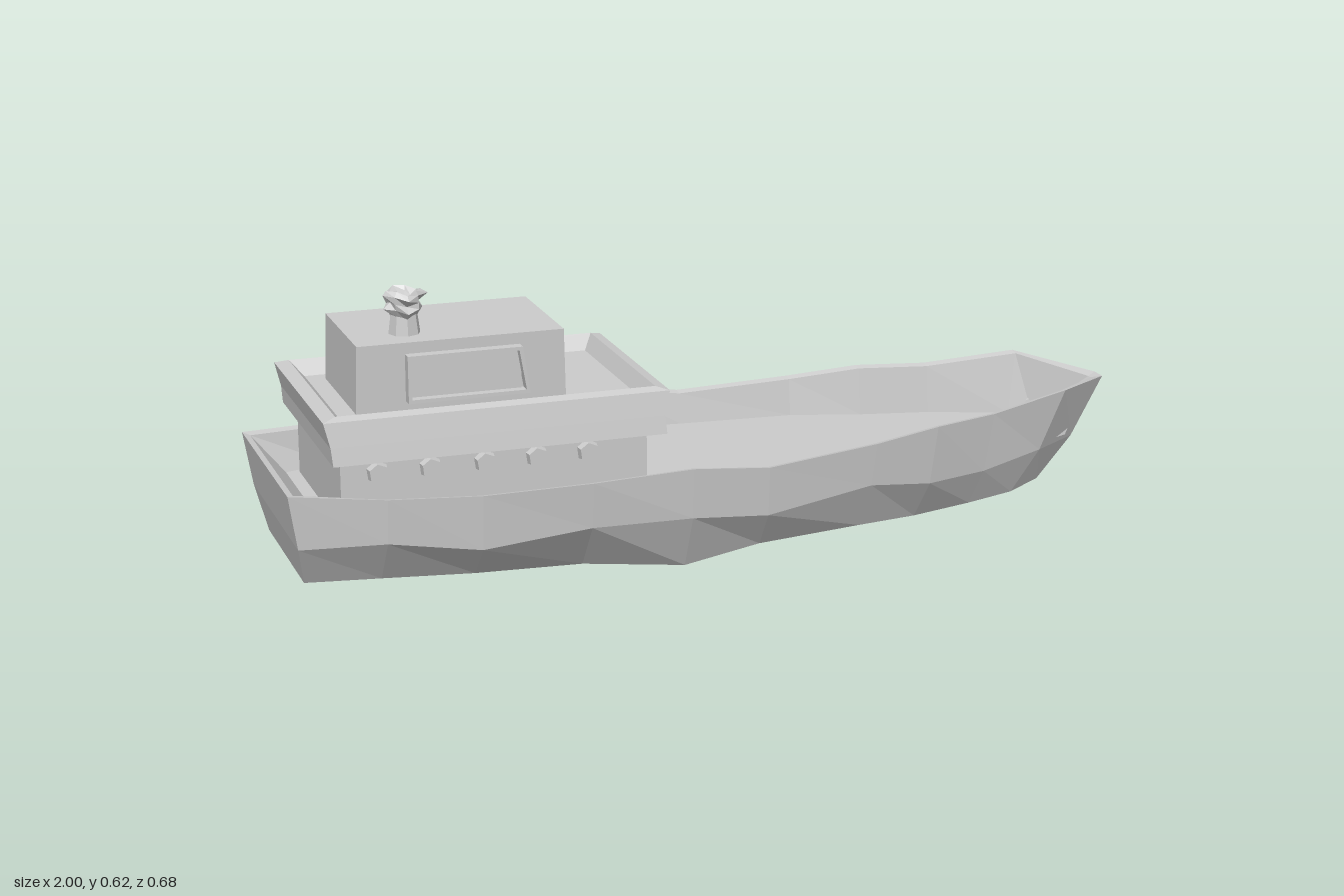
import * as THREE from 'three';

const grey = new THREE.MeshStandardMaterial({ color: 0xcccccc, flatShading: true, side: THREE.DoubleSide });

function mesh(name, geometry, parent, x = 0, y = 0, z = 0) {
  const m = new THREE.Mesh(geometry, grey);
  m.name = name;
  m.position.set(x, y, z);
  parent.add(m);
  return m;
}

// Collects quads and returns a faceted geometry
function quadBuilder() {
  const pos = [];
  return {
    quad(a, b, c, d) { for (const p of [a, b, c, a, c, d]) pos.push(...p); },
    build() {
      const g = new THREE.BufferGeometry();
      g.setAttribute('position', new THREE.Float32BufferAttribute(pos, 3));
      g.computeVertexNormals();
      return g;
    },
  };
}

// Stack of rectangles, each [x0, x1, z0, z1, y], listed bottom to top; ends are closed
function rectLoft(levels) {
  const q = quadBuilder();
  const rings = levels.map(([x0, x1, z0, z1, y]) => [[x0, y, z1], [x1, y, z1], [x1, y, z0], [x0, y, z0]]);
  for (let s = 0; s < rings.length - 1; s++) {
    for (let i = 0; i < 4; i++) {
      const j = (i + 1) % 4;
      q.quad(rings[s][i], rings[s][j], rings[s + 1][j], rings[s + 1][i]);
    }
  }
  q.quad(...[...rings[0]].reverse());
  q.quad(...rings[rings.length - 1]);
  return q.build();
}

// Hull with bulwark and sunken deck, lofted from stern to bow
function hullGeometry() {
  // rim x, left rim z, left rim y, right rim z, right rim y, keel x, left keel z, right keel z, keel y
  const stations = [
    [-1.0, 0.24, 0.245, -0.255, 0.245, -0.96, 0.18, -0.19, 0.03],
    [-0.8, 0.30, 0.235, -0.29, 0.24, -0.80, 0.22, -0.22, 0.035],
    [-0.6, 0.325, 0.23, -0.31, 0.235, -0.60, 0.24, -0.24, 0.03],
    [-0.36, 0.335, 0.235, -0.325, 0.235, -0.36, 0.245, -0.26, 0.025],
    [-0.13, 0.325, 0.24, -0.34, 0.25, -0.13, 0.26, -0.27, 0.025],
    [0.05, 0.31, 0.22, -0.32, 0.225, 0.05, 0.245, -0.25, 0.025],
    [0.32, 0.27, 0.235, -0.30, 0.24, 0.30, 0.215, -0.225, 0.03],
    [0.48, 0.24, 0.25, -0.25, 0.265, 0.45, 0.18, -0.195, 0.025],
    [0.64, 0.19, 0.25, -0.215, 0.265, 0.60, 0.15, -0.16, 0.03],
    [0.84, 0.145, 0.275, -0.145, 0.297, 0.72, 0.12, -0.125, 0.035],
    [1.0, 0.015, 0.26, -0.025, 0.26, 0.80, 0.09, -0.10, 0.05],
  ];
  const last = stations.length - 1;
  const loops = stations.map(([x, lz, ly, rz, ry, kx, kl, kr, ky], s) => {
    const mix = s === last ? 0.4 : 0.86;
    const midX = kx + (x - kx) * 0.5;
    const midY = (s === last ? 0.15 : 0.122) + 0.016 * Math.sin(s * 2.3);
    const innerX = s === 0 ? -0.985 : s === last ? 0.975 : x;
    const deckX = s === 0 ? -0.91 : s === last ? 0.87 : Math.min(x, 0.82);
    const side = (rim, rimY, keel, keelY) => {
      const sign = s === last ? Math.sign(rim) : rim / Math.abs(rim);
      const inner = sign * Math.max(Math.abs(rim) - 0.018, 0.004);
      const deck = s === last ? sign * 0.09 : sign * (Math.abs(rim) - 0.03);
      return [
        [kx, keelY, keel],
        [midX, midY, keel + (rim - keel) * mix],
        [x, rimY, rim],
        [innerX, rimY - 0.004, inner],
        [deckX, 0.15, deck],
      ];
    };
    // A single low point on the left of the keel
    const right = side(rz, ry, kr, ky);
    const left = side(lz, ly, kl, s === 4 ? 0 : ky);
    return [...right, ...left.reverse()];
  });
  const q = quadBuilder();
  for (let s = 0; s < last; s++) {
    const a = loops[s], b = loops[s + 1];
    for (let i = 0; i < 10; i++) {
      const j = (i + 1) % 10;
      q.quad(a[i], a[j], b[j], b[i]);
    }
  }
  // Transom and stem, inside and out
  for (let i = 0; i < 4; i++) {
    const a = loops[0], b = loops[last];
    q.quad(a[9 - i], a[8 - i], a[i + 1], a[i]);
    q.quad(b[i], b[i + 1], b[8 - i], b[9 - i]);
  }
  return q.build();
}

// Flat frame with a slightly set-back pane, facing +z
function windowFrame(w, h, depth) {
  const group = new THREE.Group();
  const shape = new THREE.Shape([[-w / 2, 0], [w / 2, 0], [w / 2 - 0.015, h], [-w / 2, h]].map(p => new THREE.Vector2(...p)));
  const t = 0.008;
  shape.holes.push(new THREE.Path([[-w / 2 + t, t], [-w / 2 + t, h - t], [w / 2 - t - 0.015, h - t], [w / 2 - t, t]].map(p => new THREE.Vector2(...p))));
  mesh('windowFrame', new THREE.ExtrudeGeometry(shape, { depth, bevelEnabled: false }), group);
  mesh('windowPane', new THREE.BoxGeometry(w - 0.02, h - 0.01, 0.004), group, -0.004, h / 2, 0.004);
  return group;
}

export function createModel() {
  const ship = new THREE.Group();
  ship.name = 'ship';
  mesh('hull', hullGeometry(), ship);

  // Lower deckhouse
  mesh('lowerCabin', rectLoft([[-0.88, -0.2, -0.22, 0.21, 0.14], [-0.88, -0.2, -0.22, 0.21, 0.32]]), ship);

  // Overhanging roof with a raised, sunken-floored rim
  mesh('bridgeDeck', rectLoft([
    [-0.905, -0.17, -0.253, 0.262, 0.306],
    [-0.908, -0.172, -0.253, 0.255, 0.345],
    [-0.92, -0.158, -0.26, 0.245, 0.398],
    [-0.89, -0.185, -0.245, 0.225, 0.405],
    [-0.86, -0.205, -0.225, 0.21, 0.37],
  ]), ship);

  // Upper deckhouse
  mesh('upperCabin', rectLoft([
    [-0.82, -0.352, -0.188, 0.11, 0.36],
    [-0.815, -0.356, -0.188, 0.113, 0.52],
  ]), ship);

  // Bridge windows on the front and left walls
  const sideWindow = windowFrame(0.27, 0.105, 0.027);
  sideWindow.name = 'sideWindow';
  sideWindow.position.set(-0.575, 0.39, 0.11);
  const frontWindow = windowFrame(0.19, 0.085, 0.012);
  frontWindow.name = 'frontWindow';
  frontWindow.position.set(-0.358, 0.385, -0.045);
  frontWindow.rotation.y = Math.PI / 2;
  ship.add(sideWindow, frontWindow);

  // Door on the front wall of the lower deckhouse
  const door = windowFrame(0.085, 0.11, 0.012);
  door.name = 'door';
  door.position.set(-0.2, 0.15, 0.06);
  door.rotation.y = Math.PI / 2;
  ship.add(door);

  // Portholes along both sides
  for (const x of [-0.8, -0.685, -0.565, -0.45, -0.335]) {
    const left = mesh('leftPorthole', new THREE.CylinderGeometry(0.022, 0.026, 0.02, 6), ship, x, 0.27, 0.217);
    left.rotation.set(Math.PI / 2, x * 9, 0);
    const right = mesh('rightPorthole', new THREE.CylinderGeometry(0.019, 0.019, 0.012, 10), ship, x, 0.27, -0.223);
    right.rotation.x = Math.PI / 2;
  }

  // Funnel: tapered stem with a ragged, open crown
  const funnel = new THREE.Group();
  funnel.name = 'funnel';
  funnel.position.set(-0.69, 0.515, 0.03);
  ship.add(funnel);
  mesh('funnelStem', new THREE.CylinderGeometry(0.028, 0.036, 0.06, 8), funnel, 0, 0.03, 0);
  const crownProfile = [[0.026, 0.042], [0.042, 0.06], [0.036, 0.074], [0.046, 0.09], [0.036, 0.1], [0.024, 0.09], [0.0, 0.08]];
  const crown = new THREE.LatheGeometry(crownProfile.map(p => new THREE.Vector2(...p)), 9);
  const p = crown.attributes.position;
  for (let i = 0; i < p.count; i++) {
    const angle = Math.atan2(p.getZ(i), p.getX(i));
    const k = 1 + 0.15 * Math.sin(angle * 4 + p.getY(i) * 150);
    p.setXYZ(i, p.getX(i) * k, p.getY(i) + 0.005 * Math.sin(angle * 3), p.getZ(i) * k);
  }
  crown.computeVertexNormals();
  mesh('funnelCrown', crown, funnel);
  return ship;
}
